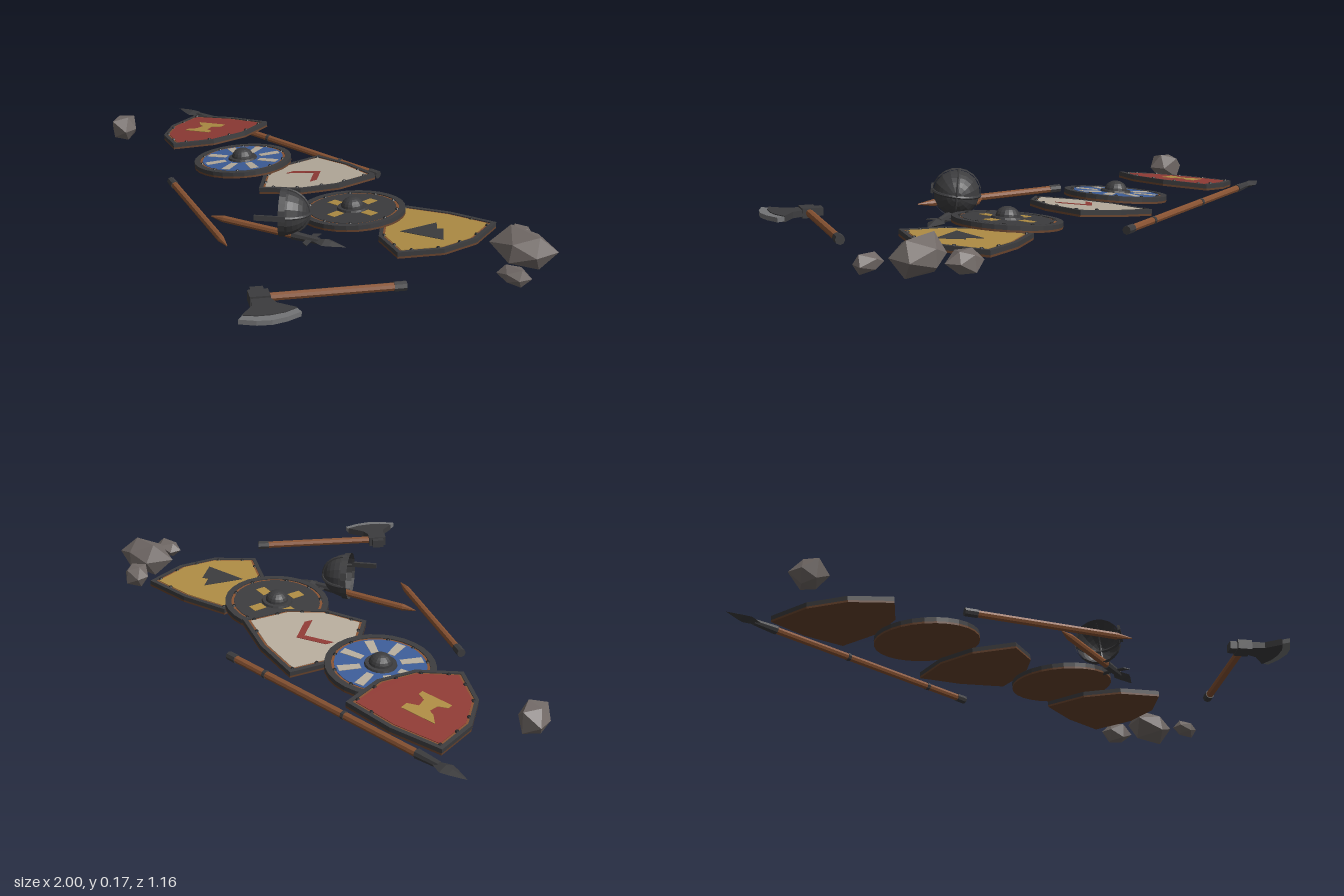
import * as THREE from 'three';

const mat = (name, color, side = THREE.FrontSide) => {
  const m = new THREE.MeshStandardMaterial({ color, side, flatShading: true });
  m.name = name;
  return m;
};

export function createModel() {
  const root = new THREE.Group();
  const iron = mat('dark iron', 0x3c3c3e, THREE.DoubleSide);
  const rivetMat = mat('black rivet', 0x242425);
  const steel = mat('edge steel', 0x737476);
  const wood = mat('shaft wood', 0x875232);
  const boardWood = mat('board wood', 0x67432d);
  const red = mat('red paint', 0x8f3b35);
  const blue = mat('blue paint', 0x3d5d98);
  const cream = mat('cream paint', 0xb6ac9c);
  const yellow = mat('ochre paint', 0xae8c44);
  const stone = mat('stone', 0x726a67);

  const add = (parent, name, geo, material, x = 0, y = 0, z = 0) => {
    const m = new THREE.Mesh(geo, material);
    m.name = name;
    m.position.set(x, y, z);
    parent.add(m);
    return m;
  };
  const polygon = (pts, s = 1) => new THREE.Shape(pts.map(([x, y]) => new THREE.Vector2(x * s, y * s)));
  const slab = (shape, depth) => new THREE.ExtrudeGeometry(shape, { depth, bevelEnabled: false });

  // ---- Shields: drawn in XY, front along +z, then laid on the ground ----
  const shield = (name, pts, paint, x, y, z, yaw, tilt, rimInner, faceSize, rivets) => {
    const g = new THREE.Group();
    g.name = name;
    g.position.set(x, y, z);
    g.rotation.set(-Math.PI / 2, yaw, tilt, 'ZYX');
    root.add(g);
    add(g, 'backBoard', slab(polygon(pts), 0.007), boardWood);
    const rim = polygon(pts);
    rim.holes.push(polygon(pts, rimInner));
    add(g, 'rim', slab(rim, 0.015), iron, 0, 0, 0.007);
    add(g, 'trim', slab(polygon(pts, rimInner + 0.01), 0.012), wood, 0, 0, 0.007);
    add(g, 'face', slab(polygon(pts, faceSize), 0.014), paint, 0, 0, 0.007);
    const line = polygon(pts, (rimInner + faceSize) / 2);
    line.autoClose = true;
    for (const p of line.getSpacedPoints(rivets).slice(0, rivets))
      add(g, 'rivet', new THREE.SphereGeometry(0.0075, 6, 4), rivetMat, p.x, p.y, 0.019);
    return g;
  };
  const heater = [[-0.176, 0.17], [-0.177, 0.01], [-0.12, -0.118], [0, -0.215],
    [0.12, -0.118], [0.177, 0.01], [0.176, 0.17], [0, 0.187]];
  const disc = Array.from({ length: 28 }, (_, i) => {
    const a = i / 28 * Math.PI * 2;
    return [Math.cos(a) * 0.183, Math.sin(a) * 0.183];
  });

  const redShield = shield('redShield', heater, red, -0.636, 0.042, -0.308, 0.27, 0.13, 0.92, 0.875, 11);
  const blueShield = shield('blueShield', disc, blue, -0.342, 0.026, -0.246, 0, 0.11, 0.88, 0.83, 10);
  const creamShield = shield('creamShield', heater, cream, -0.042, 0.036, -0.305, -0.14, 0.13, 0.92, 0.875, 11);
  const ironShield = shield('ironShield', disc, iron, 0.26, 0.026, -0.233, 0, 0.1, 0.88, 0.83, 10);
  const ochreShield = shield('ochreShield', heater, yellow, 0.555, 0.026, -0.29, 0.29, 0.06, 0.92, 0.875, 11);

  // Painted emblems
  const emblem = (g, pts, m) => add(g, 'emblem', slab(polygon(pts), 0.003), m, 0, 0, 0.0195);
  emblem(redShield, [[-0.09, 0.08], [-0.06, 0.045], [-0.04, 0.035], [-0.045, 0], [-0.075, -0.015], [-0.075, -0.035],
    [0.035, -0.035], [0.035, -0.015], [0.005, 0], [0.0, 0.035], [0.035, 0.05], [0.035, 0.08]], yellow);
  emblem(creamShield, [[-0.075, -0.045], [0, 0.025], [0.075, -0.045], [0.075, -0.015], [0, 0.055], [-0.075, -0.015]], red);
  emblem(ochreShield, [[-0.075, -0.05], [0.085, -0.05], [0.045, 0.035], [0.025, 0.025], [0, 0.075]], iron);
  const spokes = (g, count, offset, r0, r1, w0, w1, m) => {
    for (let i = 0; i < count; i++)
      emblem(g, [[r0, -w0], [r1, -w1], [r1, w1], [r0, w0]], m).rotation.z = offset + i / count * Math.PI * 2;
  };
  spokes(blueShield, 8, Math.PI / 8, 0.068, 0.143, 0.013, 0.016, cream);
  spokes(ironShield, 4, 0, 0.058, 0.106, 0.018, 0.018, yellow);
  for (const g of [blueShield, ironShield]) {
    const ring = add(g, 'bossFlange', new THREE.CylinderGeometry(0.052, 0.055, 0.008, 18), iron, 0, 0, 0.024);
    ring.rotation.x = Math.PI / 2;
    const boss = add(g, 'boss', new THREE.SphereGeometry(0.04, 16, 6, 0, Math.PI * 2, 0, Math.PI / 2), iron, 0, 0, 0.027);
    boss.rotation.x = Math.PI / 2;
    boss.scale.y = 0.85;
  }

  // ---- Long props: local y runs from a to b, local z stays up ----
  const frame = (name, a, b) => {
    const g = new THREE.Group();
    g.name = name;
    const p = new THREE.Vector3(...a), dir = new THREE.Vector3(...b).sub(p);
    g.userData.length = dir.length();
    dir.normalize();
    const side = dir.clone().cross(new THREE.Vector3(0, 1, 0)).normalize();
    const up = side.clone().cross(dir);
    g.quaternion.setFromRotationMatrix(new THREE.Matrix4().makeBasis(side, dir, up));
    g.position.copy(p);
    root.add(g);
    return g;
  };
  const rod = (g, name, y0, y1, r0, r1, m) =>
    add(g, name, new THREE.CylinderGeometry(r1, r0, y1 - y0, 8), m, 0, (y0 + y1) / 2, 0);
  const leaf = (g, y, length, width) => {
    const profile = [[0.011, 0], [width, length * 0.35], [width * 0.75, length * 0.55], [0, length]];
    const head = add(g, 'spearHead', new THREE.LatheGeometry(profile.map(p => new THREE.Vector2(...p)), 4), iron, 0, y, 0);
    head.scale.z = 0.45;
  };

  // Whole spear behind the shields
  const spear = frame('longSpear', [0.06, 0.018, -0.565], [-1, 0.018, -0.457]);
  const sl = spear.userData.length;
  rod(spear, 'shaft', 0.01, sl - 0.16, 0.0125, 0.0125, wood);
  rod(spear, 'buttCap', 0, 0.04, 0.015, 0.015, iron);
  for (const y of [0.18, 0.55]) rod(spear, 'band', y, y + 0.012, 0.0145, 0.0145, iron);
  rod(spear, 'socket', sl - 0.2, sl - 0.11, 0.016, 0.011, iron);
  leaf(spear, sl - 0.13, 0.13, 0.029);

  // Snapped rear half of a spear
  const butt = frame('brokenShaft', [-0.405, 0.016, 0.05], [0.157, 0.016, 0.252]);
  const bl = butt.userData.length;
  rod(butt, 'shaft', 0.01, bl - 0.06, 0.0125, 0.0125, wood);
  rod(butt, 'splinter', bl - 0.06, bl, 0.0125, 0.002, wood);
  rod(butt, 'buttCap', 0, 0.045, 0.015, 0.015, iron);

  // Snapped front half with a winged head
  const front = frame('wingedSpear', [-0.06, 0.017, 0.14], [0.428, 0.017, -0.037]);
  const fl = front.userData.length;
  rod(front, 'splinter', 0, 0.05, 0.002, 0.0125, wood);
  rod(front, 'shaft', 0.05, fl - 0.14, 0.0125, 0.0125, wood);
  rod(front, 'socket', fl - 0.2, fl - 0.1, 0.016, 0.012, iron);
  leaf(front, fl - 0.12, 0.12, 0.03);
  emblem(front, [[-0.055, 0.015], [-0.04, -0.008], [0.04, -0.008], [0.055, 0.015], [0.02, 0.012], [-0.02, 0.012]], iron)
    .position.set(0, fl - 0.135, -0.0015);

  // Axe
  const axe = frame('axe', [0.76, 0.026, 0.028], [0.502, 0.026, 0.458]);
  const al = axe.userData.length;
  rod(axe, 'handle', 0.01, al - 0.01, 0.0135, 0.0135, wood);
  rod(axe, 'buttCap', 0, 0.04, 0.0165, 0.0165, iron);
  add(axe, 'axeSocket', new THREE.BoxGeometry(0.05, 0.065, 0.034), iron, 0, al - 0.035, 0);
  add(axe, 'axePoll', new THREE.BoxGeometry(0.03, 0.042, 0.028), iron, 0.035, al - 0.035, 0);
  const blade = [[-0.02, -0.028], [-0.06, -0.045], [-0.1, -0.1], [-0.122, -0.06], [-0.132, -0.015],
    [-0.132, 0.03], [-0.12, 0.073], [-0.07, 0.035], [-0.02, 0.028]];
  add(axe, 'axeBlade', slab(polygon(blade), 0.022), iron, 0, al - 0.035, -0.011);
  const edge = [[-0.1, -0.1], [-0.125, -0.108], [-0.15, -0.06], [-0.163, -0.012], [-0.16, 0.035], [-0.142, 0.088],
    [-0.12, 0.073], [-0.132, 0.03], [-0.132, -0.015], [-0.122, -0.06]];
  add(axe, 'cuttingEdge', slab(polygon(edge), 0.016), steel, 0, al - 0.035, -0.008);

  // ---- Helmet lying on its side, rolled a little ----
  const helmet = frame('helmet', [0.197, 0.09, 0.037], [0.272, 0.09, -0.028]);
  helmet.rotateY(-0.12);
  const dome = add(helmet, 'dome', new THREE.SphereGeometry(0.079, 16, 7, 0, Math.PI * 2, 0, Math.PI / 2), iron);
  dome.scale.y = 1.12;
  add(helmet, 'browBand', new THREE.CylinderGeometry(0.082, 0.084, 0.022, 20, 1, true), iron, 0, 0.002, 0);
  for (const turn of [0, Math.PI / 2]) {
    const rib = add(helmet, 'rib', new THREE.TorusGeometry(0.079, 0.006, 6, 18, Math.PI), iron);
    rib.rotation.y = turn;
    rib.scale.y = 1.12;
  }
  add(helmet, 'noseGuard', new THREE.BoxGeometry(0.009, 0.105, 0.018), iron, 0.084, -0.036, 0);

  // ---- Rocks: faceted lumps fitted to a given size ----
  const rocks = [
    [-0.905, -0.1, 0.115, 0.095, 0.105, 1], [0.785, -0.5, 0.115, 0.075, 0.085, 2.3],
    [0.87, -0.4, 0.2, 0.12, 0.145, 4.1], [0.945, -0.27, 0.105, 0.06, 0.072, 5.7]];
  for (const [x, z, w, h, d, seed] of rocks) {
    const geo = new THREE.IcosahedronGeometry(1, 0);
    const p = geo.attributes.position;
    for (let i = 0; i < p.count; i++) {
      const v = new THREE.Vector3().fromBufferAttribute(p, i);
      v.multiplyScalar(1 + 0.17 * Math.sin(v.x * 5 + v.y * 7 + v.z * 3 + seed));
      p.setXYZ(i, v.x, v.y, v.z);
    }
    geo.center();
    geo.computeBoundingBox();
    const s = geo.boundingBox.getSize(new THREE.Vector3());
    geo.scale(w / s.x, h / s.y, d / s.z);
    geo.computeVertexNormals();
    add(root, 'rock', geo, stone, x, h / 2 + 0.003, z);
  }
  return root;
}
